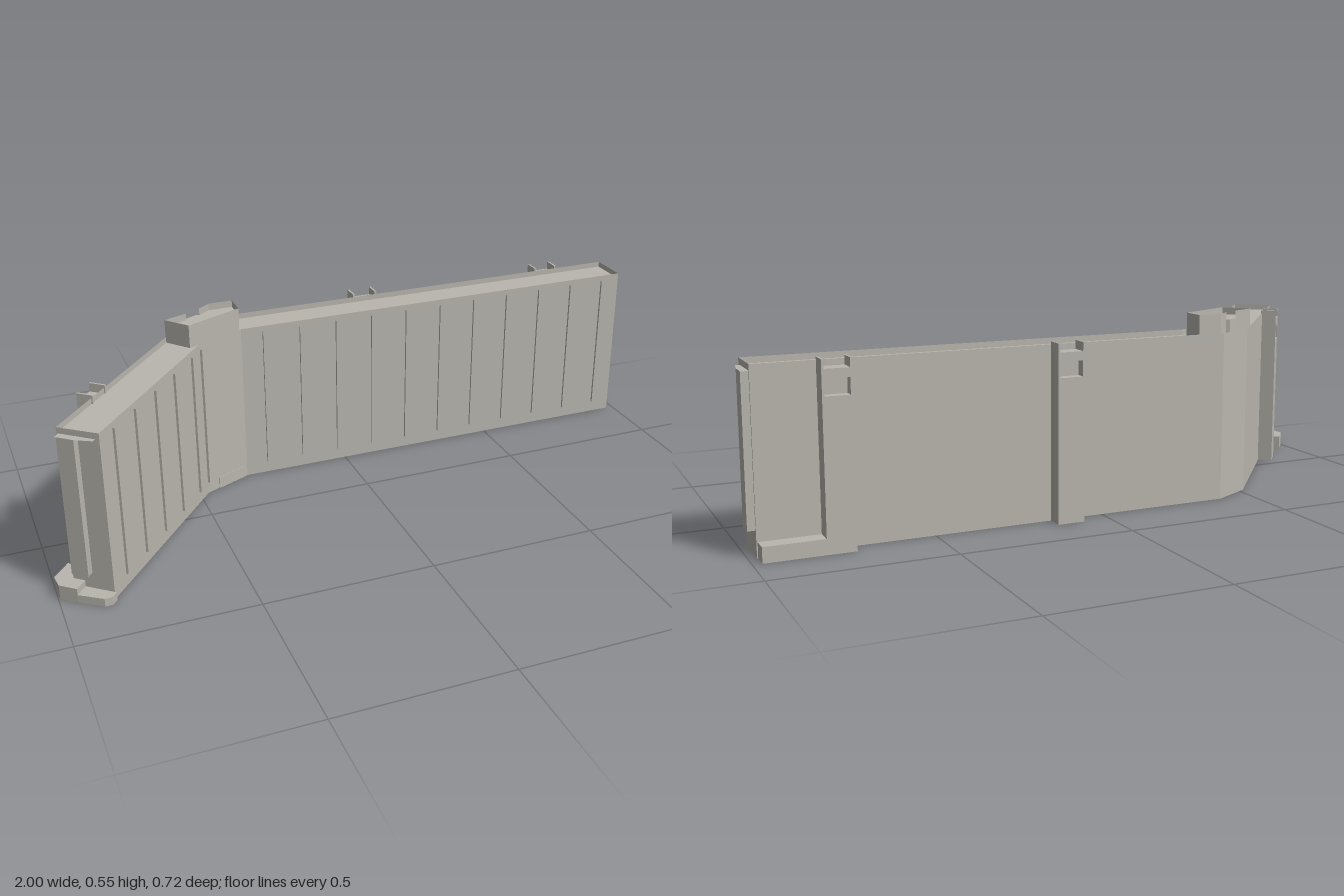
import * as THREE from 'three';

const concrete = new THREE.MeshStandardMaterial({ color: 0xb9b6ae, side: THREE.DoubleSide });
concrete.name = 'concrete grey';

const FLOOR = 0.48, RIM = 0.497, THICK = 0.123;

function add(parent, name, geometry) {
  const mesh = new THREE.Mesh(geometry, concrete);
  mesh.name = name;
  parent.add(mesh);
  return mesh;
}

// Box given by its limits on each axis
function box(parent, name, [x0, x1], [y0, y1], [z0, z1]) {
  const mesh = add(parent, name, new THREE.BoxGeometry(x1 - x0, y1 - y0, z1 - z0));
  mesh.position.set((x0 + x1) / 2, (y0 + y1) / 2, (z0 + z1) / 2);
  return mesh;
}

// Upright sheet following a plan line of [x, z] points
function sheet(parent, name, line, y0, y1) {
  const pos = [];
  for (let i = 0; i < line.length - 1; i++) {
    const [ax, az] = line[i], [bx, bz] = line[i + 1];
    pos.push(ax, y0, az, bx, y0, bz, bx, y1, bz, ax, y0, az, bx, y1, bz, ax, y1, az);
  }
  const geo = new THREE.BufferGeometry();
  geo.setAttribute('position', new THREE.Float32BufferAttribute(pos, 3));
  geo.computeVertexNormals();
  return add(parent, name, geo);
}

// Flat plan polygon at height y, or a block when a height is given
function slab(parent, name, points, y, height = 0) {
  const shape = new THREE.Shape(points.map(([x, z]) => new THREE.Vector2(x, -z)));
  const geo = height
    ? new THREE.ExtrudeGeometry(shape, { depth: height, bevelEnabled: false })
    : new THREE.ShapeGeometry(shape);
  geo.rotateX(-Math.PI / 2);
  const mesh = add(parent, name, geo);
  mesh.position.y = y;
  return mesh;
}

// Rear buttress with two side cheeks rising above a notched top
function buttress(arm, t0, t1) {
  const depth = 0.048, cheek = 0.006;
  const g = new THREE.Group();
  g.name = 'buttress';
  box(g, 'buttressColumn', [t0, t1], [0, 0.41], [0, depth]);
  box(g, 'buttressBack', [t0, t1], [0.41, FLOOR], [0, 0.02]);
  box(g, 'buttressBracket', [t0, t1], [0.455, FLOOR], [0.02, depth]);
  for (const t of [t0, t1 - cheek])
    box(g, 'buttressCheek', [t, t + cheek], [0.41, 0.505], [0, depth]);
  arm.add(g);
}

// Narrow column and lip closing the end of an arm
function armEnd(arm, t) {
  box(arm, 'endColumn', [t, t + 0.021], [0.072, FLOOR], [-0.055, -0.005]);
  slab(arm, 'endLip', [[t, 0], [t + 0.021, 0], [t + 0.021, -0.055],
    [t + 0.012, -0.105], [t, -0.105]], FLOOR);
}

// Thin upright fins standing on the front face of an arm
function fins(parent, start, dir, offsets) {
  const [dx, dz] = dir, d = 0.007;
  for (const s of offsets) {
    const x = start[0] + dx * s, z = start[1] + dz * s;
    sheet(parent, 'panelFin', [[x + dz * d, z - dx * d], [x - dz * d, z + dx * d]], 0.037, FLOOR);
  }
}

export function createModel() {
  const model = new THREE.Group();
  model.name = 'bentWall';

  // Plan lines, from the end of the short arm to the end of the long arm
  const back = [[-0.952, 0.254], [-0.52, -0.254], [-0.398, -0.316], [0.978, -0.316]];
  const front = [[-0.858, 0.33], [-0.473, -0.13], [-0.33, -0.193], [0.978, -0.193]];
  const outline = [...front, ...[...back].reverse()];

  // Hollow wall, open at the bottom, with a walkway between low parapets
  sheet(model, 'wallShell', [...outline, front[0]], 0, FLOOR);
  slab(model, 'walkway', outline, FLOOR);
  sheet(model, 'parapet', [...outline, front[0]], FLOOR, RIM);

  // Front panel fins
  fins(model, front[1], [-0.642, 0.767], [0.002, 0.064, 0.18, 0.297, 0.415, 0.532]);
  fins(model, front[2], [-1, 0], Array.from({ length: 11 }, (_, i) => -0.067 - i * 0.1175));

  // Long arm fittings: local x runs along the arm, local z points outward
  const longArm = new THREE.Group();
  longArm.name = 'longArmFittings';
  longArm.position.set(-0.398, 0, -0.316);
  longArm.scale.z = -1;
  buttress(longArm, 0.476, 0.556);
  buttress(longArm, 1.128, 1.208);
  box(longArm, 'endFoot', [1.208, 1.373], [0, 0.043], [-0.002, 0.048]);
  armEnd(longArm, 1.376);
  model.add(longArm);

  // Short arm fittings in the same kind of frame
  const shortArm = new THREE.Group();
  shortArm.name = 'shortArmFittings';
  shortArm.position.set(-0.52, 0, -0.254);
  shortArm.rotation.y = Math.atan2(-0.767, -0.642);
  buttress(shortArm, 0.414, 0.488);
  armEnd(shortArm, 0.667);
  slab(shortArm, 'endFootRear', [[0.607, 0], [0.607, 0.057], [0.68, 0.057],
    [0.711, 0.025], [0.711, -0.03], [0.667, -0.03], [0.667, 0]], 0, 0.043);
  slab(shortArm, 'endFootFront', [[0.667, -0.03], [0.711, -0.03],
    [0.705, -0.107], [0.69, -THICK], [0.667, -THICK]], 0, 0.024);
  model.add(shortArm);

  // Low panel at the foot of the bend
  const sill = add(model, 'bendPanel', new THREE.BoxGeometry(0.109, 0.037, 0.004));
  sill.position.set(-0.385, 0.0185, -0.169);
  sill.rotation.y = Math.atan2(0.063, 0.143);

  // Turret over the bend, with a raised rim notched at the rear
  const turret = [[-0.553, -0.217], [-0.498, -0.15], [-0.325, -0.227],
    [-0.325, -0.297], [-0.398, -0.297], [-0.435, -0.268], [-0.445, -0.273],
    [-0.485, -0.252], [-0.482, -0.244]];
  slab(model, 'turretBase', turret, FLOOR, 0.05);
  sheet(model, 'turretRim', [[-0.482, -0.244], ...turret.slice(0, 6)], 0.53, 0.551);

  return model;
}
